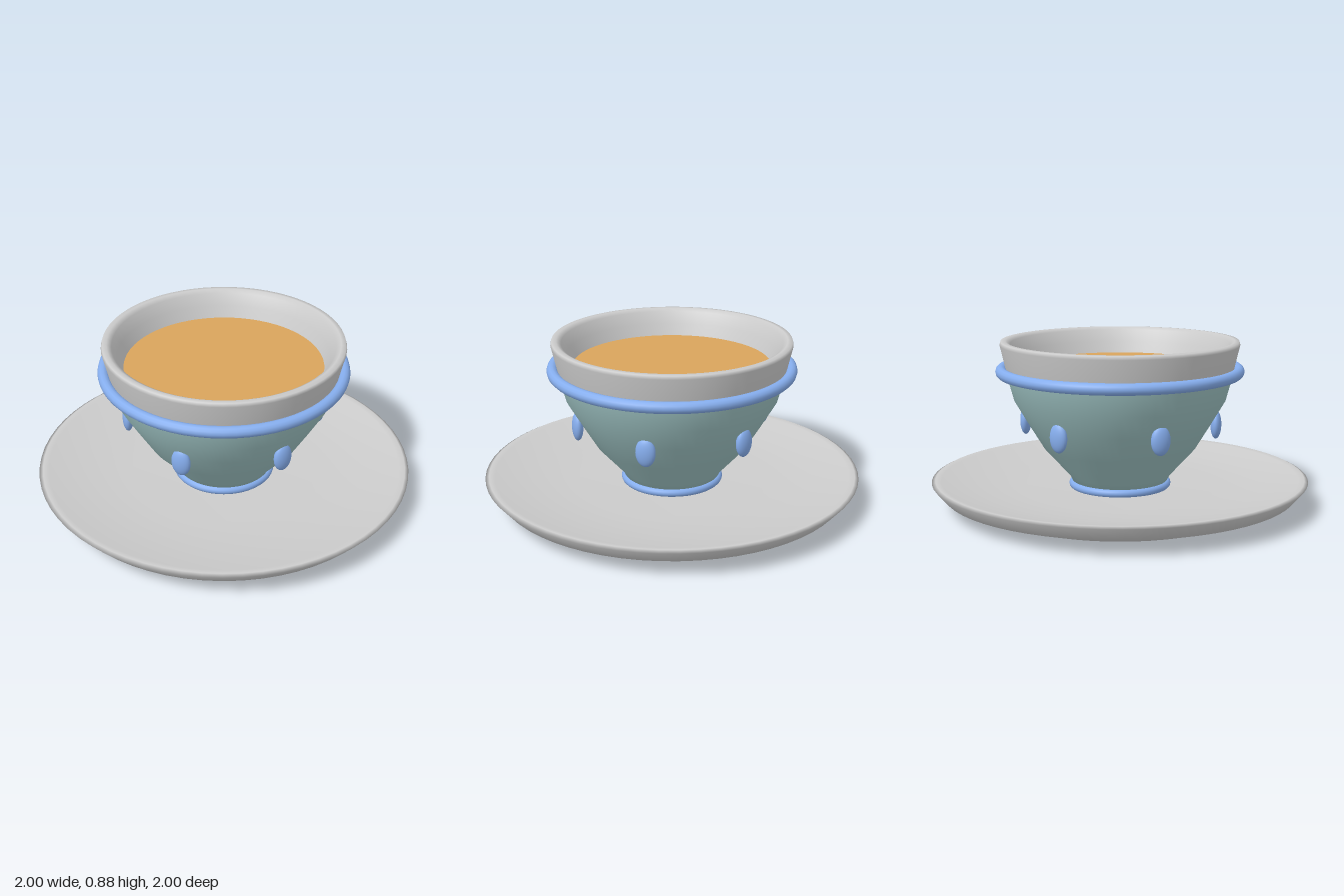
import * as THREE from 'three';

const GREY = new THREE.MeshStandardMaterial({ color: 0xcccccc, side: THREE.DoubleSide });
const TEAL = new THREE.MeshStandardMaterial({ color: 0x9cc0c0, side: THREE.DoubleSide });
const BLUE = new THREE.MeshStandardMaterial({ color: 0x86aeee });
const COFFEE = new THREE.MeshStandardMaterial({ color: 0xd9a45c });
const SEGMENTS = 64;

function addMesh(parent, name, geometry, material) {
  const mesh = new THREE.Mesh(geometry, material);
  mesh.name = name;
  parent.add(mesh);
  return mesh;
}

// Turned part from [radius, height] pairs
function turned(profile) {
  return new THREE.LatheGeometry(profile.map(([r, y]) => new THREE.Vector2(r, y)), SEGMENTS);
}

// Horizontal ring around the cup
function addRing(parent, name, radius, tube, y) {
  const ring = addMesh(parent, name, new THREE.TorusGeometry(radius, tube, 12, SEGMENTS), BLUE);
  ring.rotation.x = Math.PI / 2;
  ring.position.y = y;
}

export function createModel() {
  const model = new THREE.Group();
  model.name = 'cupAndSaucer';

  // Saucer: flat base, flared side, thin lip and shallow dish
  addMesh(model, 'saucer', turned([
    [0, 0], [0.72, 0], [0.94, 0.075], [1, 0.145], [0.98, 0.155],
    [0.95, 0.15], [0.75, 0.11], [0.5, 0.095], [0, 0.09],
  ]), GREY);

  // Cup: tinted bowl below, plain rim band above
  const cup = new THREE.Group();
  cup.name = 'cup';
  model.add(cup);
  addMesh(cup, 'bowl', turned([
    [0, 0.092], [0.235, 0.092], [0.27, 0.16], [0.405, 0.31], [0.49, 0.45],
    [0.56, 0.57], [0.59, 0.68], [0.6, 0.73],
  ]), TEAL);
  addMesh(cup, 'rim', turned([
    [0.6, 0.73], [0.63, 0.86], [0.625, 0.878], [0.6, 0.88],
    [0.575, 0.865], [0.55, 0.8], [0.52, 0.74], [0.5, 0.68],
  ]), GREY);

  // Drink surface
  const drink = addMesh(cup, 'drink', new THREE.CircleGeometry(0.522, SEGMENTS), COFFEE);
  drink.rotation.x = -Math.PI / 2;
  drink.position.y = 0.74;

  // Decorative rings
  addRing(cup, 'upperRing', 0.625, 0.03, 0.72);
  addRing(cup, 'footRing', 0.25, 0.022, 0.11);

  // Six oval beads around the bowl
  const beadGeometry = new THREE.SphereGeometry(1, 24, 16).scale(0.029, 0.076, 0.052);
  for (let i = 0; i < 6; i++) {
    const angle = (i * Math.PI) / 3;
    const bead = addMesh(cup, 'bead', beadGeometry, BLUE);
    bead.position.set(Math.cos(angle) * 0.51, 0.437, Math.sin(angle) * 0.51);
    bead.rotation.y = -angle;
  }
  return model;
}
